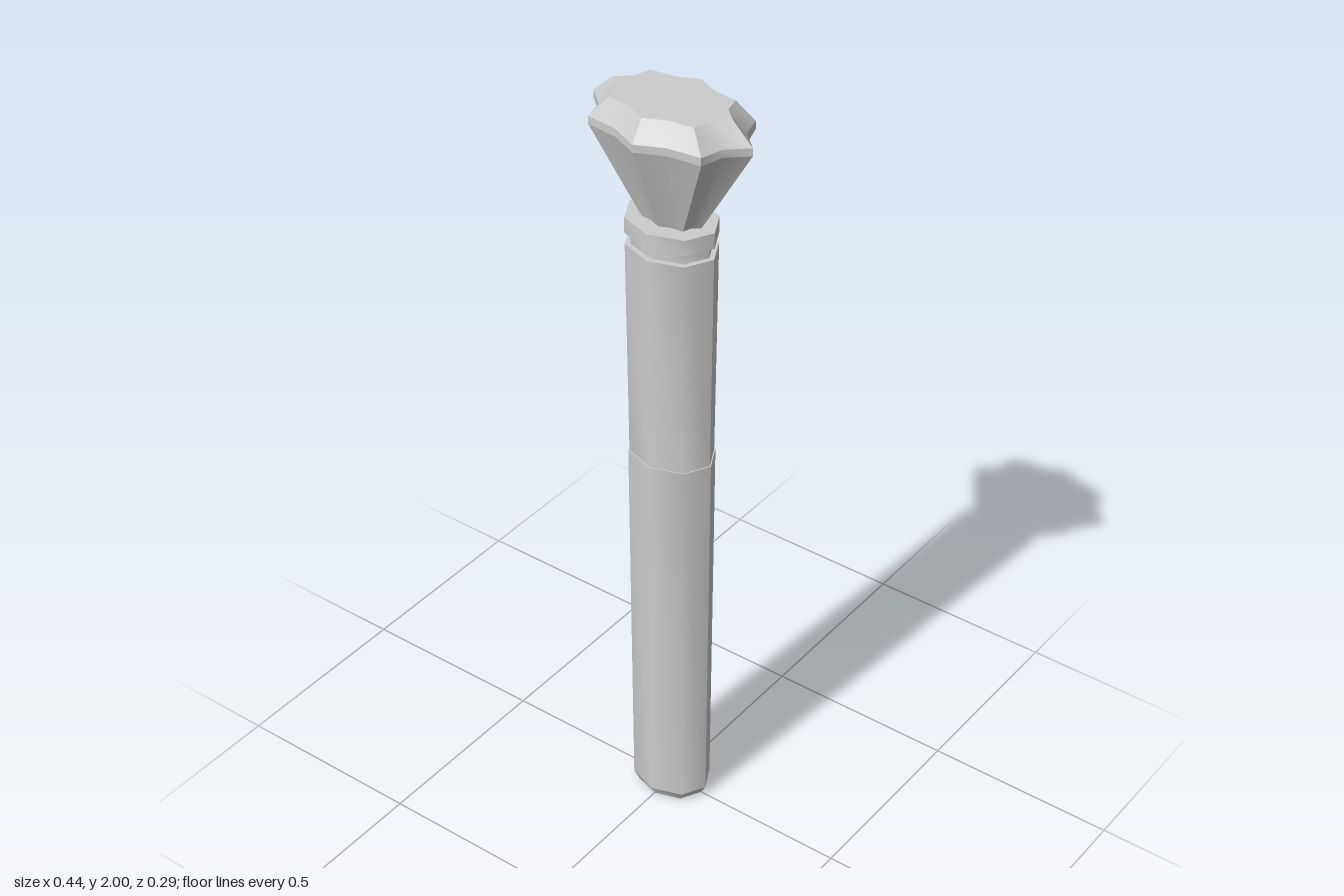
import * as THREE from 'three';

const grey = new THREE.MeshStandardMaterial({ color: 0xcccccc });
grey.name = 'plain grey';

// Ring outlines around the y axis at unit scale, as [x, z]
const octagon = Array.from({ length: 8 }, (_, i) => {
  const a = (i * Math.PI) / 4;
  return [Math.cos(a), Math.sin(a)];
});
const quarterStar = [[1, 0], [0.775, 0.31], [0.705, 0.705], [0.32, 0.775]];
const star = [];
for (let q = 0; q < 4; q++) {
  if (q % 2 === 0) {
    const s = q === 0 ? 1 : -1;
    for (const [x, z] of quarterStar) star.push([s * x, s * z]);
  } else {
    const s = q === 1 ? 1 : -1;
    star.push([0, s]);
    for (const [x, z] of quarterStar.slice(1).reverse()) star.push([-s * x, s * z]);
  }
}

// Capped loft through rows of [y, halfWidth, halfDepth].
// Every `panel` points there is a sharp vertical edge; each band is sharp from the next.
function loft(name, outline, rows, panel) {
  const n = outline.length, pos = [], idx = [];
  const add = ([y, w, d], i) => {
    const [x, z] = outline[i % n];
    return pos.push(x * w, y, z * d) / 3 - 1;
  };
  for (let r = 0; r < rows.length - 1; r++) {
    for (let p = 0; p < n; p += panel) {
      let low = add(rows[r], p), high = add(rows[r + 1], p);
      for (let i = p + 1; i <= p + panel; i++) {
        const nextLow = add(rows[r], i), nextHigh = add(rows[r + 1], i);
        idx.push(low, high, nextHigh, low, nextHigh, nextLow);
        low = nextLow;
        high = nextHigh;
      }
    }
  }
  // End caps
  for (const [row, up] of [[rows[0], false], [rows[rows.length - 1], true]]) {
    const centre = pos.push(0, row[0], 0) / 3 - 1;
    const ring = outline.map((_, i) => add(row, i));
    ring.forEach((a, i) => {
      const b = ring[(i + 1) % n];
      idx.push(centre, up ? b : a, up ? a : b);
    });
  }
  const geo = new THREE.BufferGeometry();
  geo.setAttribute('position', new THREE.Float32BufferAttribute(pos, 3));
  geo.setIndex(idx);
  geo.computeVertexNormals();
  const mesh = new THREE.Mesh(geo, grey);
  mesh.name = name;
  return mesh;
}

export function createModel() {
  const model = new THREE.Group();
  model.name = 'starHeadedHandle';
  model.add(
    // Tapered grip with a bevelled foot
    loft('lowerHandle', octagon, [[0, 0.094, 0.074], [0.025, 0.108, 0.086], [1.055, 0.115, 0.091]], 4),
    loft('upperHandle', octagon, [[1.055, 0.112, 0.088], [1.63, 0.118, 0.094]], 4),
    // Groove and ring below the head
    loft('neck', octagon, [[1.63, 0.105, 0.08], [1.66, 0.105, 0.08]], 4),
    loft('collar', octagon, [[1.66, 0.119, 0.094], [1.7, 0.119, 0.094]], 4),
    // Flared eight-pointed head with a bevelled flat top
    loft('starHead', star, [[1.7, 0.083, 0.052], [1.93, 0.218, 0.143], [1.95, 0.218, 0.143], [2, 0.165, 0.108]], 2)
  );
  return model;
}
